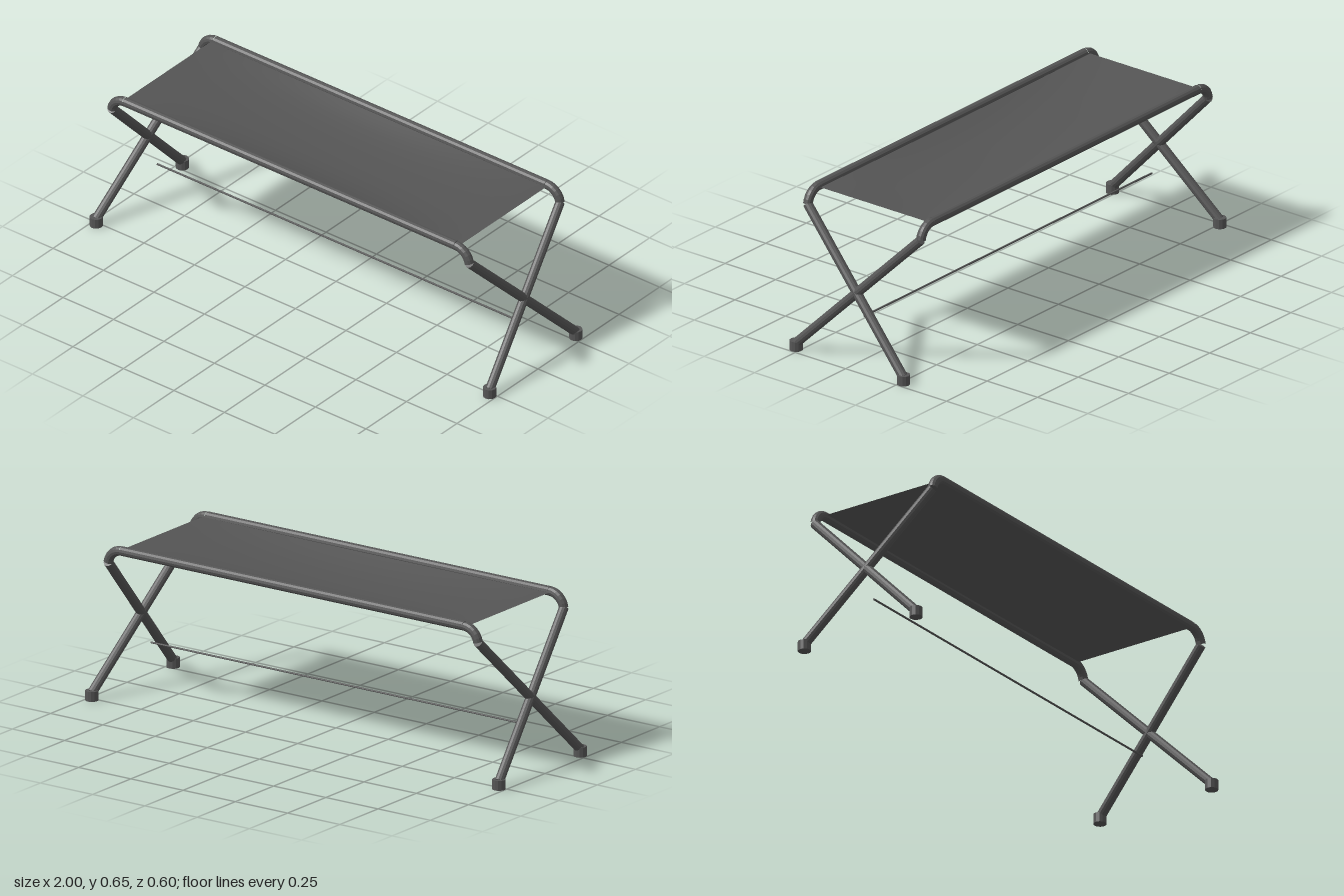
import * as THREE from 'three';

const R = 0.019;      // tube radius
const RAIL_Y = 0.635; // rail axis height
const RAIL_Z = 0.28;  // rail axis offset

export function createModel() {
  const root = new THREE.Group();
  root.name = 'foldingBench';
  const metal = new THREE.MeshStandardMaterial({ color: 0x555555, flatShading: true });
  metal.name = 'dark grey tube';
  const cloth = new THREE.MeshStandardMaterial({ color: 0x555555, side: THREE.DoubleSide });
  cloth.name = 'dark grey fabric';

  const add = (name, geometry, material = metal) => {
    const mesh = new THREE.Mesh(geometry, material);
    mesh.name = name;
    root.add(mesh);
    return mesh;
  };

  // Straight round bar between two points
  const bar = (name, a, b, radius, sides = 12) => {
    const dir = b.clone().sub(a);
    const mesh = add(name, new THREE.CylinderGeometry(radius, radius, dir.length(), sides));
    mesh.position.copy(a).add(b).multiplyScalar(0.5);
    mesh.quaternion.setFromUnitVectors(new THREE.Vector3(0, 1, 0), dir.normalize());
  };
  const v = (x, y, z) => new THREE.Vector3(x, y, z);

  for (const sz of [1, -1]) {
    const end = sz > 0 ? 'front' : 'back';
    const z = sz * RAIL_Z;
    bar(end + 'Rail', v(-0.82, RAIL_Y, z), v(0.82, RAIL_Y, z), R);

    for (const sx of [1, -1]) {
      const side = sx > 0 ? 'Left' : 'Right';

      // Bend from the rail down to the leg
      const points = [];
      for (let i = 0; i <= 6; i++) {
        const a = (i / 6) * 1.42;
        points.push(v(sx * (0.82 + 0.065 * Math.sin(a)), RAIL_Y - 0.065 + 0.065 * Math.cos(a), z));
      }
      add(end + side + 'Elbow', new THREE.TubeGeometry(new THREE.CatmullRomCurve3(points), 6, R, 12));

      // Leg crosses to the opposite side, ending in a foot cap
      bar(end + side + 'Leg', v(sx * 0.885, 0.579, z), v(sx * 0.974, 0.03, -sz * 0.264), R);
      const foot = add(end + side + 'Foot', new THREE.CylinderGeometry(0.026, 0.026, 0.04, 12));
      foot.position.set(sx * 0.974, 0.02, -sz * 0.266);
    }
  }

  // Thin tie rod low between the leg pairs
  bar('tieRod', v(-0.885, 0.183, 0), v(0.885, 0.183, 0), 0.004, 8);

  // Fabric seat sagging towards its middle
  const seat = new THREE.PlaneGeometry(1.66, 0.54, 24, 12).rotateX(-Math.PI / 2);
  const p = seat.attributes.position;
  for (let i = 0; i < p.count; i++) {
    const tx = Math.min(1, Math.abs(p.getX(i)) / 0.83);
    const tz = Math.min(1, Math.abs(p.getZ(i)) / 0.27);
    p.setY(i, RAIL_Y - 0.038 * (1 - tx ** 2) * (1 - tz ** 2.6));
  }
  seat.computeVertexNormals();
  add('fabricSeat', seat, cloth);

  return root;
}
